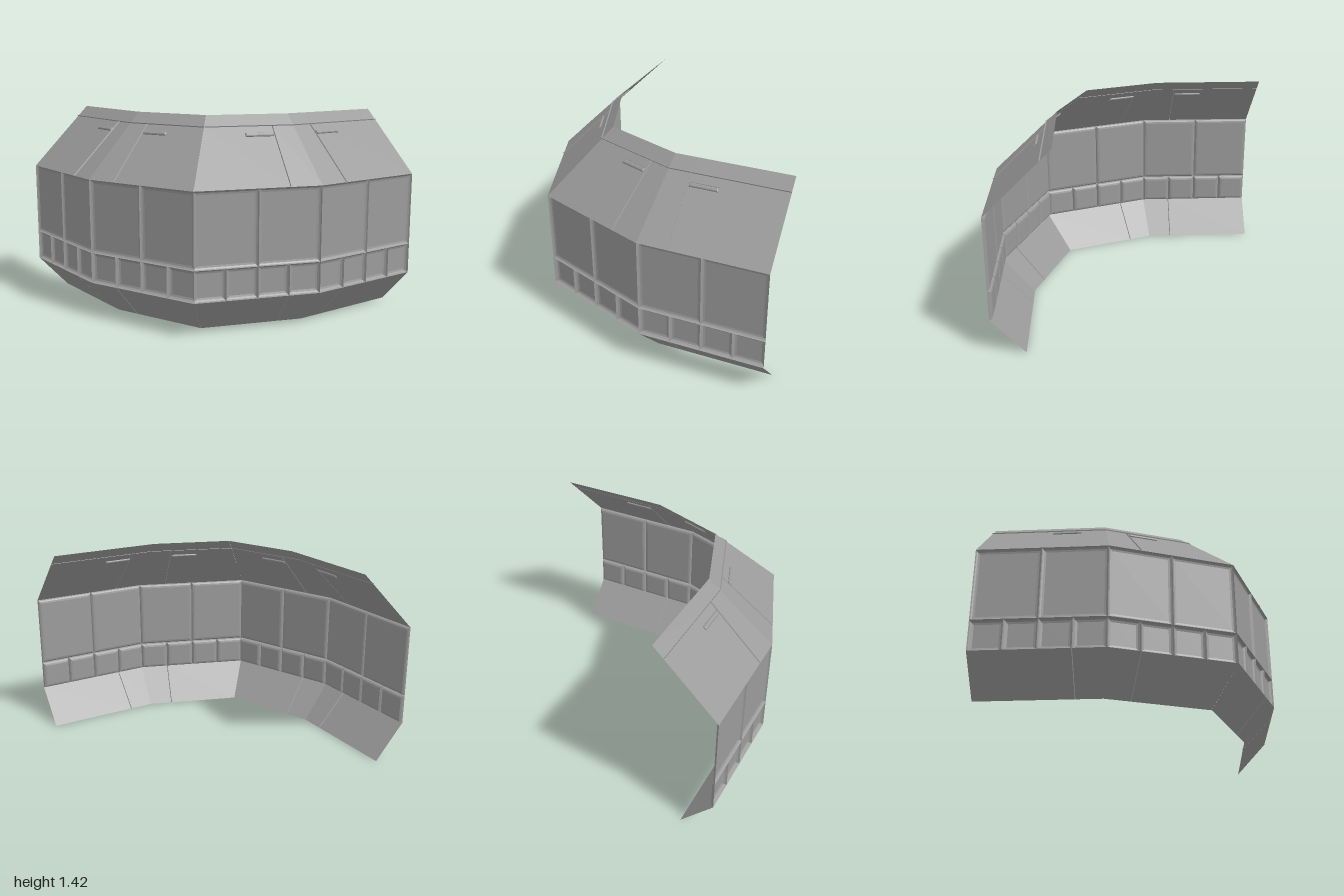
import * as THREE from 'three';
import { mergeGeometries } from 'three/addons/utils/BufferGeometryUtils.js';

const UP = new THREE.Vector3(0, 1, 0);
const PLAN = [[-1, -1], [-1, -0.12], [-0.7, 0.7], [0.12, 1], [1, 1]];
const WALL_TOP = 0.98, RAIL = 0.465, WALL_LOW = 0.25;
const SEAM = 0.22; // seam distance from the nearer shallow corner
const GROOVE = 0.003, GROOVE_DEPTH = 0.007;

const material = new THREE.MeshStandardMaterial({
  color: 0x9b9b9b, side: THREE.DoubleSide, flatShading: true,
});

// Quad skin over rows of points; the front faces the inside of the bend
function skin(rows) {
  const pos = [], index = [], w = rows[0].length;
  rows.flat().forEach((p) => pos.push(p.x, p.y, p.z));
  for (let j = 0; j < rows.length - 1; j++) {
    for (let i = 0; i < w - 1; i++) {
      const a = j * w + i, b = a + 1, c = a + w, d = c + 1;
      index.push(a, c, b, b, c, d);
    }
  }
  const g = new THREE.BufferGeometry();
  g.setAttribute('position', new THREE.Float32BufferAttribute(pos, 3));
  g.setIndex(index);
  const flat = g.toNonIndexed();
  flat.computeVertexNormals();
  return flat;
}

// Flat frame: u along the segment, v up the surface, h toward the inside
function frame(origin, along, inward, run, rise) {
  const slope = inward.clone().multiplyScalar(run).addScaledVector(UP, rise).normalize();
  const normal = inward.clone().multiplyScalar(rise).addScaledVector(UP, -run).normalize();
  return (u, v, h) => origin.clone().addScaledVector(along, u)
    .addScaledVector(slope, v).addScaledVector(normal, h);
}

// Raised panel: rings of a rectangle stepping in by [inset, height], then a flat face
function tray(at, u0, u1, v0, v1, steps) {
  const ring = ([k, h]) => [
    at(u0 + k, v0 + k, h), at(u1 - k, v0 + k, h), at(u1 - k, v1 - k, h),
    at(u0 + k, v1 - k, h), at(u0 + k, v0 + k, h),
  ];
  const rings = steps.map(ring);
  const top = rings[rings.length - 1];
  return mergeGeometries([skin(rings), skin([[top[0], top[1]], [top[3], top[2]]])]);
}

// Sloped skirt with mitred ends, one cross seam and an optional lengthwise groove
function slopedSheet(at, length, run, rise, miters, seamU, lineV) {
  const full = Math.hypot(run, rise);
  const vs = lineV ? [0, lineV - GROOVE, lineV, lineV + GROOVE, full] : [0, full];
  return skin(vs.map((v, j) => {
    const d = (v / full) * run;
    const us = [d * miters[0], seamU - GROOVE, seamU, seamU + GROOVE, length - d * miters[1]];
    return us.map((u, i) => {
      const onLine = lineV && j === 2;
      const onSeam = i === 2 && (!lineV || j < 2);
      return at(u, v, onLine || onSeam ? -GROOVE_DEPTH : 0);
    });
  }));
}

function createSegment(k) {
  const seg = new THREE.Group();
  seg.name = 'wallSegment' + (k + 1);
  const add = (name, geometry) => {
    const mesh = new THREE.Mesh(geometry, material);
    mesh.name = name;
    seg.add(mesh);
  };
  const a = new THREE.Vector3(PLAN[k][0], 0, PLAN[k][1]);
  const b = new THREE.Vector3(PLAN[k + 1][0], 0, PLAN[k + 1][1]);
  const length = a.distanceTo(b);
  const along = b.clone().sub(a).normalize();
  const inward = UP.clone().cross(along);

  // Mitre slopes from the turn at each corner
  const corner = [0, 10, 25, 10, 0].map((t) => Math.tan(THREE.MathUtils.degToRad(t)));
  const miters = [corner[k], corner[k + 1]];
  const seamAtEnd = k % 2 === 0;
  const seamU = seamAtEnd ? length - SEAM : SEAM;
  const base = (y) => a.clone().setY(y);

  // Wall: two tall panels over four small, deeper ones, all with rounded edges
  const wall = frame(base(0), along, inward, 0, 1);
  const row = (n, v0, v1, depth) => {
    const bevel = [[0, 0], [0.005, 0.5], [0.014, 0.85], [0.027, 1]].map(([i, h]) => [i, h * depth]);
    return mergeGeometries(Array.from({ length: n }, (_, i) =>
      tray(wall, (i * length) / n, ((i + 1) * length) / n, v0, v1, bevel)));
  };
  add('tallPanels', row(2, RAIL, WALL_TOP, 0.02));
  add('smallPanels', row(4, WALL_LOW, RAIL, 0.027));

  // Upper slope leaning inward
  const run = 0.45, rise = 0.44, full = Math.hypot(run, rise);
  const roof = frame(base(WALL_TOP), along, inward, run, rise);
  add('upperSlope', slopedSheet(roof, length, run, rise, miters, seamU, full * 0.83));

  // Lower slope, rising outward to the wall foot
  const foot = frame(base(WALL_LOW), along, inward, 0.23, -WALL_LOW);
  add('lowerSlope', slopedSheet(foot, length, 0.23, -WALL_LOW, miters, seamU, 0));

  // Slim tapered handle, showing on both faces of the upper slope
  const h0 = seamAtEnd ? seamU - 0.21 : seamU + 0.01;
  const v = full * 0.705;
  add('handle', mergeGeometries([1, -1].map((s) =>
    tray(roof, h0, h0 + 0.2, v - 0.016, v + 0.016, [[0, s * -0.003], [0.003, s * 0.007], [0.008, s * 0.011]]))));
  return seg;
}

export function createModel() {
  const model = new THREE.Group();
  model.name = 'curvedCorridorWall';
  for (let k = 0; k < PLAN.length - 1; k++) model.add(createSegment(k));
  return model;
}
